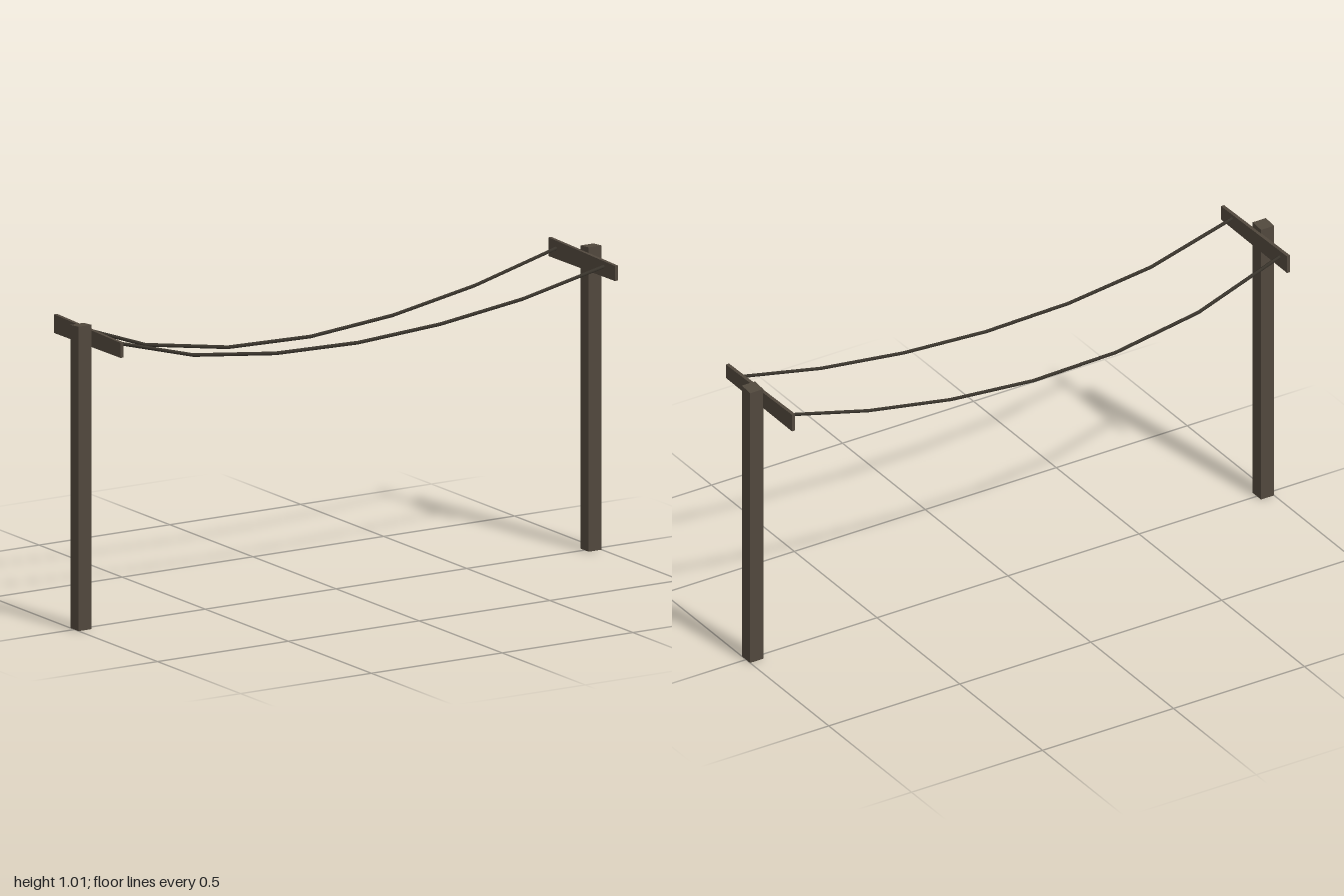
import * as THREE from 'three';

const wood = new THREE.MeshStandardMaterial({ color: 0x51483d });
wood.name = 'weathered wood';
const cord = new THREE.MeshStandardMaterial({ color: 0x38332b });
cord.name = 'dark cord';

// Box standing on yBase whose top and bottom faces lean slightly along z
function roughBoard(name, w, d, yBase, frontTop, backTop, backDrop = 0) {
  const geo = new THREE.BoxGeometry(w, 1, d);
  const p = geo.attributes.position;
  for (let i = 0; i < p.count; i++) {
    const front = p.getZ(i) > 0;
    const top = front ? frontTop : backTop;
    const bottom = front ? yBase : yBase - backDrop;
    p.setY(i, p.getY(i) > 0 ? top : bottom);
  }
  geo.computeVertexNormals();
  const mesh = new THREE.Mesh(geo, wood);
  mesh.name = name;
  return mesh;
}

// Six straight cord sections that follow the given heights
function line(name, z, heights) {
  const n = heights.length - 1;
  const length = 1.89;
  const geo = new THREE.CylinderGeometry(0.0062, 0.0062, length, 6, n, false, Math.PI / 2);
  geo.rotateZ(Math.PI / 2);
  const p = geo.attributes.position;
  for (let i = 0; i < p.count; i++) {
    const ring = Math.round((p.getX(i) / length + 0.5) * n);
    p.setY(i, p.getY(i) + heights[ring]);
  }
  geo.computeVertexNormals();
  const mesh = new THREE.Mesh(geo, cord);
  mesh.name = name;
  mesh.position.z = z;
  return mesh;
}

export function createModel() {
  const model = new THREE.Group();
  model.name = 'clothesline';

  // Post and crossbar at each end
  for (const [side, s] of [['left', 1], ['right', -1]]) {
    const post = roughBoard(side + 'Post', 0.05, 0.05, 0, 1.013, 1.009);
    post.position.x = s * 0.975;
    const bar = roughBoard(side + 'Crossbar', 0.012, 0.4, 0.94, 0.99, 1.0, 0.002);
    bar.position.x = s * 0.945;
    model.add(post, bar);
  }

  // Sagging lines, heights run from the right post to the left post
  model.add(line('frontLine', 0.133, [0.978, 0.892, 0.855, 0.848, 0.867, 0.908, 0.975]));
  model.add(line('backLine', -0.154, [0.978, 0.865, 0.814, 0.807, 0.835, 0.892, 0.975]));
  return model;
}
